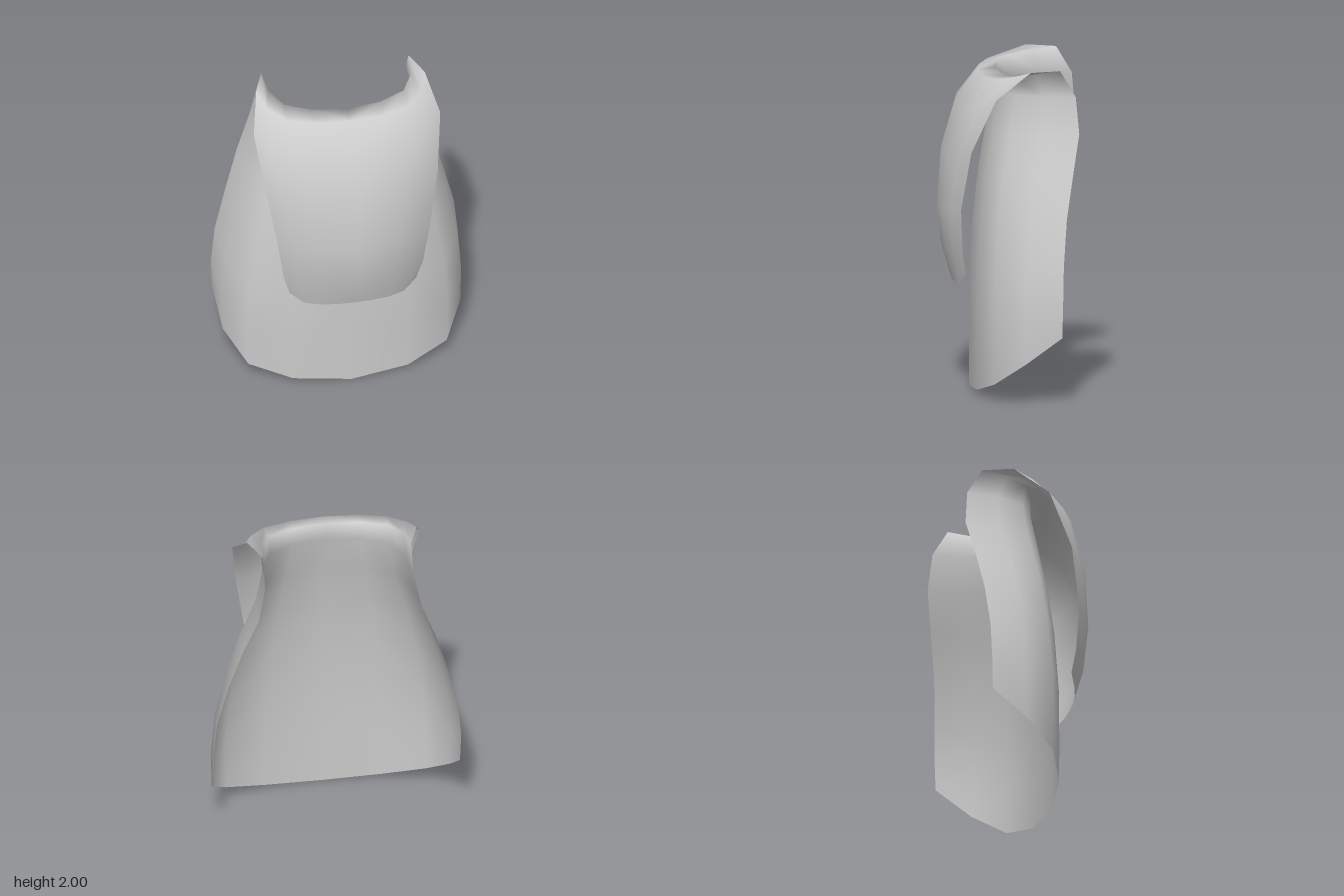
import * as THREE from 'three';

// Half cross-section from the centre line to the side edge, as fractions:
// how far across (x) and how far back (z) each column sits.
const WRAP = { x: [0, 0.47, 0.81, 0.97, 1], z: [0, 0.07, 0.25, 0.6, 1] };
const FLAT = { x: [0, 0.26, 0.53, 0.79, 1], z: [0, 0.03, 0.2, 0.53, 1] };

// Rows: [centre y, centre z, edge x, edge y, edge z, flatness]
const PANEL = [
  [0.00, 0.23, 0.755, 0.41, -0.315, 0],
  [0.30, 0.23, 0.762, 0.60, -0.32, 0],
  [0.62, 0.23, 0.738, 0.84, -0.325, 0],
  [1.02, 0.21, 0.668, 1.12, -0.345, 0],
  [1.33, 0.175, 0.59, 1.38, -0.385, 0],
  [1.60, 0.13, 0.50, 1.62, -0.425, 0],
  [1.84, 0.08, 0.457, 1.84, -0.405, 0],
];
const FOLD = [[1.95, 0.075, 0.455, 2.0, -0.31, 0]];
const FLAP = [
  [1.935, 0.18, 0.52, 2.0, -0.13, 0.3],
  [1.76, 0.31, 0.575, 1.84, 0.08, 0.6],
  [1.45, 0.40, 0.53, 1.51, 0.23, 0.85],
  [1.12, 0.425, 0.47, 1.15, 0.29, 1],
  [0.88, 0.40, 0.43, 0.88, 0.28, 1],
  [0.67, 0.34, 0.39, 0.74, 0.26, 1],
];

// Skin mirrored rows into one smooth open sheet
function sheet(rows) {
  const positions = [], index = [], cols = 9;
  const lerp = THREE.MathUtils.lerp;
  for (const [cy, cz, ex, ey, ez, flat] of rows) {
    for (let c = -4; c <= 4; c++) {
      const i = Math.abs(c);
      const fx = lerp(WRAP.x[i], FLAT.x[i], flat);
      const fz = lerp(WRAP.z[i], FLAT.z[i], flat);
      const fy = Math.pow(fz, 1 + 2 * flat);
      positions.push(Math.sign(c) * ex * fx, lerp(cy, ey, fy), lerp(cz, ez, fz));
    }
  }
  for (let r = 0; r < rows.length - 1; r++) {
    for (let c = 0; c < cols - 1; c++) {
      const a = r * cols + c, b = a + 1, d = a + cols, e = d + 1;
      // mirror the diagonals about the centre line
      if (c < 4) index.push(a, b, e, a, e, d);
      else index.push(a, b, d, b, e, d);
    }
  }
  const geometry = new THREE.BufferGeometry();
  geometry.setAttribute('position', new THREE.Float32BufferAttribute(positions, 3));
  geometry.setIndex(index);
  geometry.computeVertexNormals();
  return geometry;
}

export function createModel() {
  const group = new THREE.Group();
  group.name = 'foldedCloth';
  const material = new THREE.MeshStandardMaterial({ color: 0xcccccc, side: THREE.DoubleSide });

  // Wrapped panel rising to the fold, then turning over into the front flap
  const cloth = new THREE.Mesh(sheet([...PANEL, ...FOLD, ...FLAP]), material);
  cloth.name = 'panelWithFrontFlap';
  group.add(cloth);
  return group;
}
